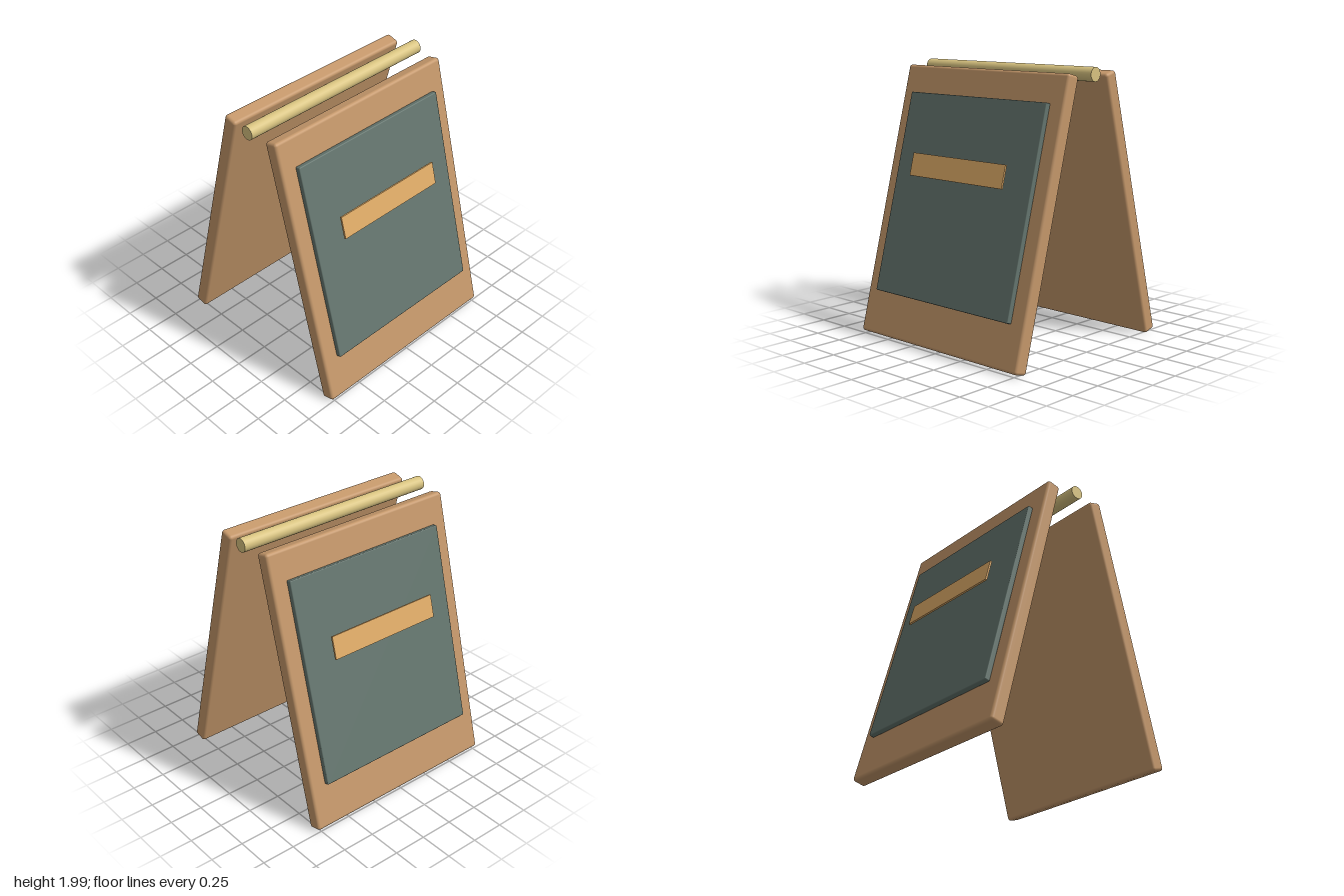
import * as THREE from 'three';
import { RoundedBoxGeometry } from 'three/addons/geometries/RoundedBoxGeometry.js';

const material = (name, color) => {
  const m = new THREE.MeshStandardMaterial({ color });
  m.name = name;
  return m;
};

export function createModel() {
  const wood = material('wood', 0xc4976a);
  const slate = material('slate', 0x64756e);
  const plaqueWood = material('plaque wood', 0xe0ac68);
  const brass = material('brass', 0xd8c380);

  const model = new THREE.Group();
  model.name = 'sandwichBoard';

  const add = (parent, name, geometry, mat, y, z) => {
    const mesh = new THREE.Mesh(geometry, mat);
    mesh.name = name;
    mesh.position.set(0, y, z);
    parent.add(mesh);
    return mesh;
  };

  const panelGeometry = new RoundedBoxGeometry(1.56, 2.01, 0.105, 3, 0.022);
  const slateGeometry = new RoundedBoxGeometry(1.32, 1.48, 0.04, 2, 0.007);
  const plaqueGeometry = new THREE.BoxGeometry(0.905, 0.166, 0.014);

  // Two identical leaning sides, turned back to back
  ['front', 'back'].forEach((name, i) => {
    const side = new THREE.Group();
    side.name = name + 'Side';
    side.rotation.y = i * Math.PI;
    const lean = new THREE.Group();
    lean.name = name + 'Leaf';
    lean.position.set(0, 0.985, 0.4535);
    lean.rotation.x = -0.26;
    add(lean, 'panel', panelGeometry, wood, 0, 0);
    add(lean, 'writingBoard', slateGeometry, slate, 0.054, 0.07);
    add(lean, 'plaque', plaqueGeometry, plaqueWood, 0.263, 0.1466);
    side.add(lean);
    model.add(side);
  });

  // Rod along the top
  const rod = add(model, 'topRod', new THREE.CylinderGeometry(0.05, 0.05, 1.6, 24), brass, 1.95, 0);
  rod.rotation.z = Math.PI / 2;

  return model;
}
